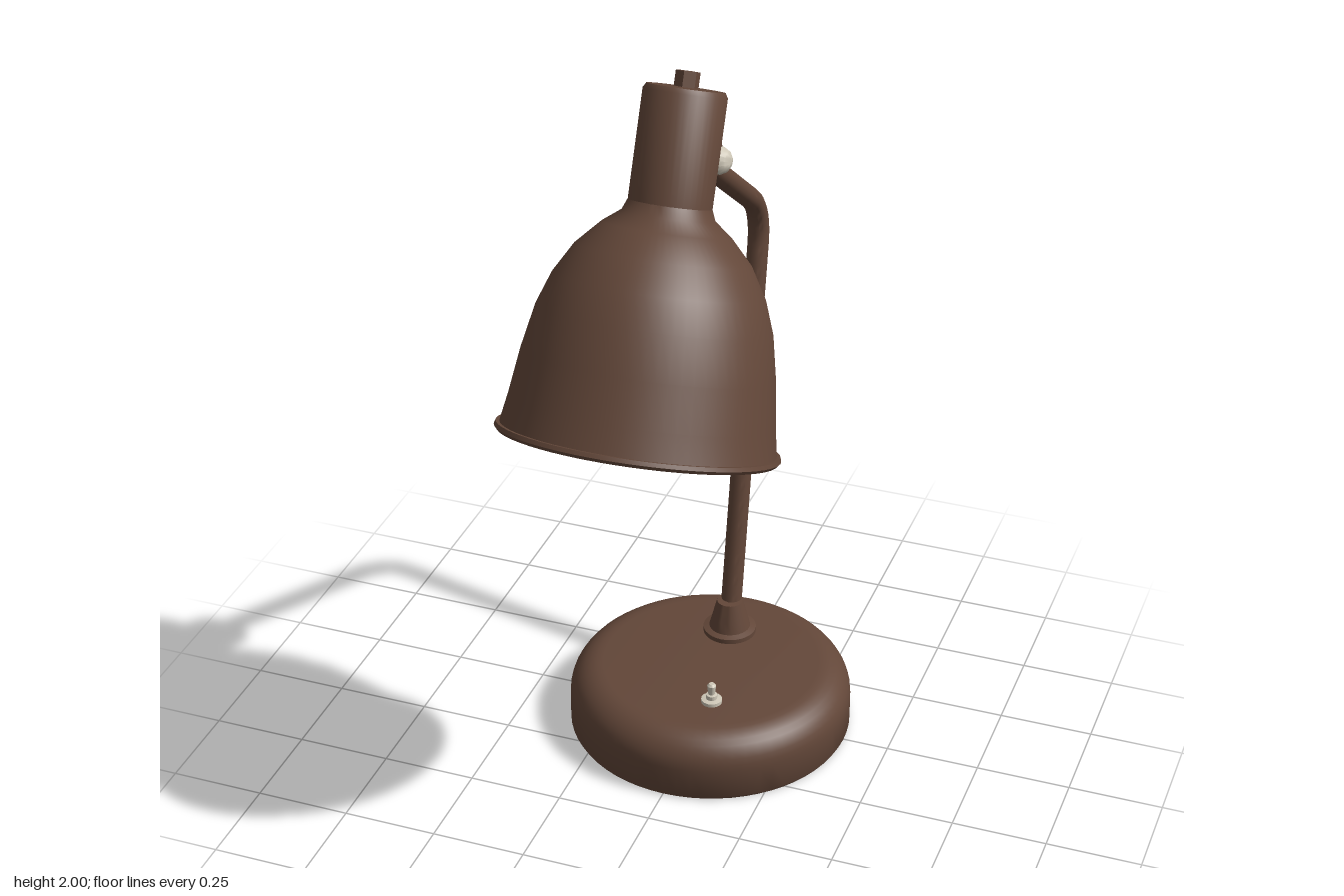
import * as THREE from 'three';
import { toCreasedNormals } from 'three/addons/utils/BufferGeometryUtils.js';

const brown = new THREE.MeshStandardMaterial({ color: 0x634739 });
brown.name = 'brown enamel';
const silver = new THREE.MeshStandardMaterial({ color: 0xcfc8b8 });
silver.name = 'pale metal';

const V = (x, y, z) => new THREE.Vector3(x, y, z);

function add(parent, name, geometry, material, x = 0, y = 0, z = 0) {
  const mesh = new THREE.Mesh(toCreasedNormals(geometry, 0.6), material);
  mesh.name = name;
  mesh.position.set(x, y, z);
  parent.add(mesh);
  return mesh;
}

// Revolves [radius, height] pairs, listed upward on the outside
function lathe(profile, segments = 48) {
  return new THREE.LatheGeometry(profile.map(([r, y]) => new THREE.Vector2(r, y)), segments);
}

export function createModel() {
  const lamp = new THREE.Group();
  lamp.name = 'deskLamp';

  // Round base with a soft shoulder
  const base = [[0, 0], [0.374, 0], [0.38, 0.01]];
  for (let i = 0; i <= 8; i++) {
    const a = (i / 8) * Math.PI / 2;
    base.push([0.29 + 0.09 * Math.cos(a), 0.09 + 0.09 * Math.sin(a)]);
  }
  base.push([0, 0.18]);
  add(lamp, 'base', lathe(base, 64), brown, 0, 0, -0.235);

  // Collar holding the pole
  add(lamp, 'poleCollar', lathe([[0, 0], [0.072, 0], [0.072, 0.015], [0.056, 0.02],
    [0.048, 0.05], [0.035, 0.1], [0, 0.1]], 32), brown, 0, 0.178, -0.392);

  // Toggle switch
  add(lamp, 'switch', lathe([[0, 0], [0.028, 0], [0.028, 0.012], [0.015, 0.014], [0.015, 0.026],
    [0.009, 0.028], [0.012, 0.054], [0.007, 0.06], [0, 0.06]], 16), silver, 0.065, 0.178, -0.058);

  // Bent pole: straight, curved elbow, straight
  const path = new THREE.CurvePath();
  const low = V(0, 1.27, -0.59), high = V(0, 1.45, -0.505);
  path.add(new THREE.LineCurve3(V(0, 0.2, -0.392), low));
  path.add(new THREE.QuadraticBezierCurve3(low, V(0, 1.38, -0.61), high));
  path.add(new THREE.LineCurve3(high, V(0, 1.745, -0.105)));
  add(lamp, 'pole', new THREE.TubeGeometry(path, 90, 0.028, 16), brown);

  // Tilted lamp head, with its origin at the centre of the rim
  const head = new THREE.Group();
  head.name = 'lampHead';
  head.position.set(0, 1.175, 0.305);
  head.rotation.x = -0.41;
  lamp.add(head);

  // Hollow shade: inner wall downward, rolled rim, outer wall upward
  const wall = [[0.334, 0.012], [0.322, 0.08], [0.307, 0.19], [0.285, 0.3], [0.256, 0.38],
    [0.212, 0.455], [0.155, 0.515], [0.112, 0.548], [0.101, 0.575]];
  const inner = wall.slice(0, 7).map(([r, y]) => [r - 0.012, y - 0.008]).reverse();
  add(head, 'shade', lathe([[0, 0.525], ...inner, [0.328, -0.004], [0.339, -0.006],
    [0.346, 0.002], [0.343, 0.012], ...wall], 64), brown);

  // Socket housing with a small faceted knob
  add(head, 'socketHousing', lathe([[0.101, 0.57], [0.101, 0.838], [0.094, 0.85], [0, 0.852]], 40), brown);
  add(head, 'topKnob', new THREE.CylinderGeometry(0.03, 0.03, 0.05, 6), brown, 0, 0.864, 0);

  // Hinge: two rounded cheeks reaching back from the housing, with a screw on each
  const cheek = new THREE.Shape();
  cheek.moveTo(0.03, -0.065);
  cheek.lineTo(-0.055, -0.065);
  cheek.lineTo(-0.055, 0.07);
  cheek.lineTo(0.01, 0.06);
  cheek.absarc(0.03, 0, 0.045, Math.PI / 2, -Math.PI / 2, true);
  const cheekGeometry = new THREE.ExtrudeGeometry(cheek, { depth: 0.016, bevelEnabled: false, curveSegments: 10 });
  cheekGeometry.translate(0, 0, -0.008).rotateY(Math.PI / 2);
  const hinge = new THREE.Group();
  hinge.name = 'hinge';
  hinge.position.set(0, 1.745, -0.1);
  hinge.rotation.x = -0.41;
  lamp.add(hinge);
  for (const side of [-1, 1]) {
    add(hinge, 'hingeCheek', cheekGeometry, brown, side * 0.037, 0, 0);
    const screw = add(hinge, 'hingeScrew', lathe([[0, 0], [0.034, 0], [0.034, 0.018],
      [0.026, 0.033], [0.013, 0.041], [0, 0.043]], 16), silver, side * 0.045, 0, -0.016);
    screw.rotation.z = -side * Math.PI / 2;
  }
  const pin = add(hinge, 'hingePin', new THREE.CylinderGeometry(0.034, 0.034, 0.06, 20), brown, 0, 0, -0.016);
  pin.rotation.z = Math.PI / 2;

  return lamp;
}
